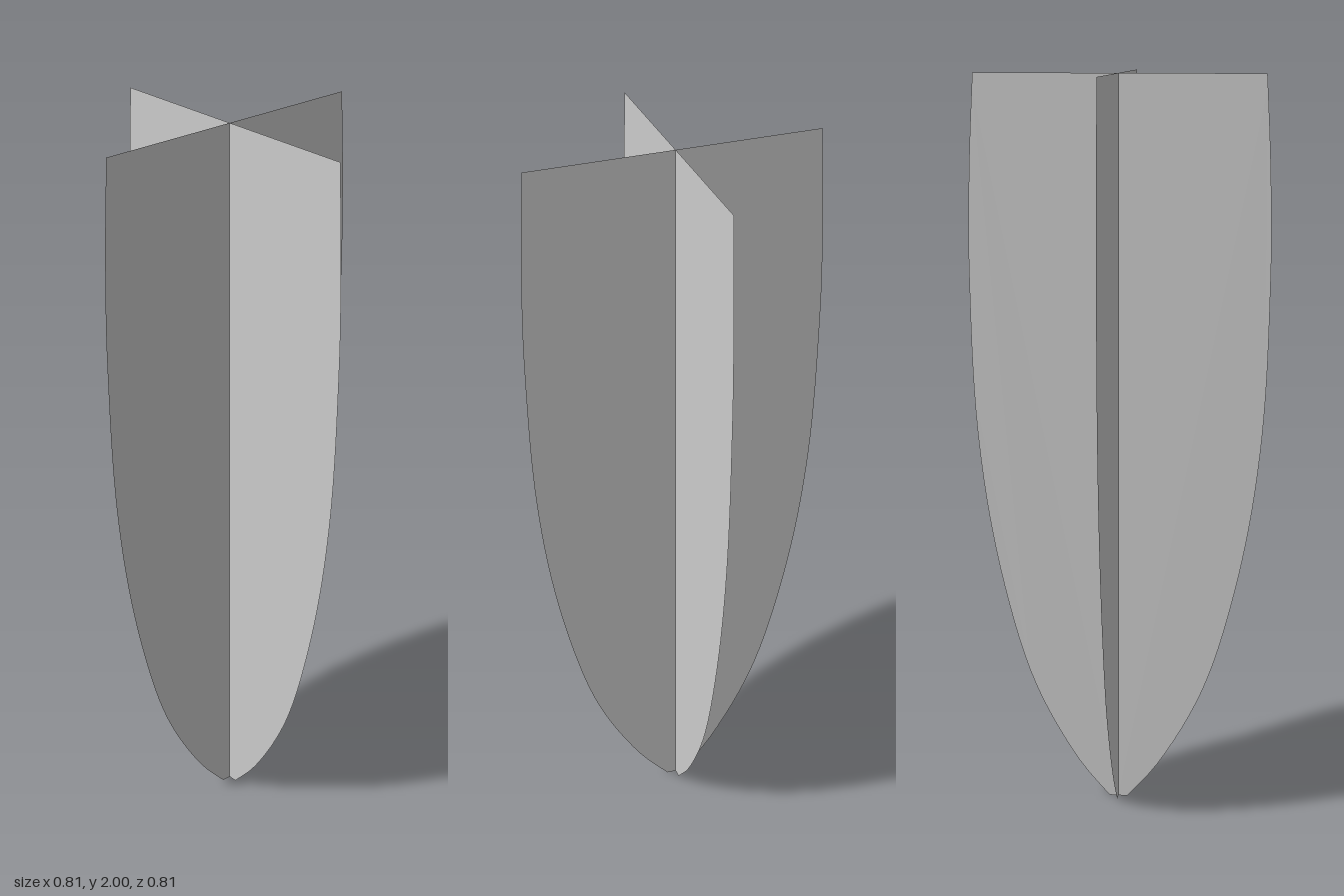
import * as THREE from 'three';

// Right-hand edge of a fin, from the blunt tip up to the flat top: [half width, height]
const EDGE = [
  [0.025, 0], [0.11, 0.1], [0.2, 0.25], [0.263, 0.4], [0.318, 0.6], [0.358, 0.8],
  [0.384, 1], [0.398, 1.2], [0.404, 1.45], [0.404, 1.6], [0.398, 1.8], [0.387, 2],
];

// Half of a fin, from the central axis out to the curved edge
function halfFinGeometry() {
  const curve = new THREE.SplineCurve(EDGE.map(([x, y]) => new THREE.Vector2(x, y)));
  const shape = new THREE.Shape([
    new THREE.Vector2(0, 0),
    ...curve.getPoints(44),
    new THREE.Vector2(0, 2),
  ]);
  return new THREE.ShapeGeometry(shape);
}

export function createModel() {
  const model = new THREE.Group();
  model.name = 'crossedFins';
  const material = new THREE.MeshStandardMaterial({ color: 0xcccccc, side: THREE.DoubleSide });
  const geometry = halfFinGeometry();

  // Four paper-thin blades around the vertical axis
  ['leftFin', 'backFin', 'rightFin', 'frontFin'].forEach((name, i) => {
    const fin = new THREE.Mesh(geometry, material);
    fin.name = name;
    fin.rotation.y = (i * Math.PI) / 2;
    model.add(fin);
  });
  return model;
}
